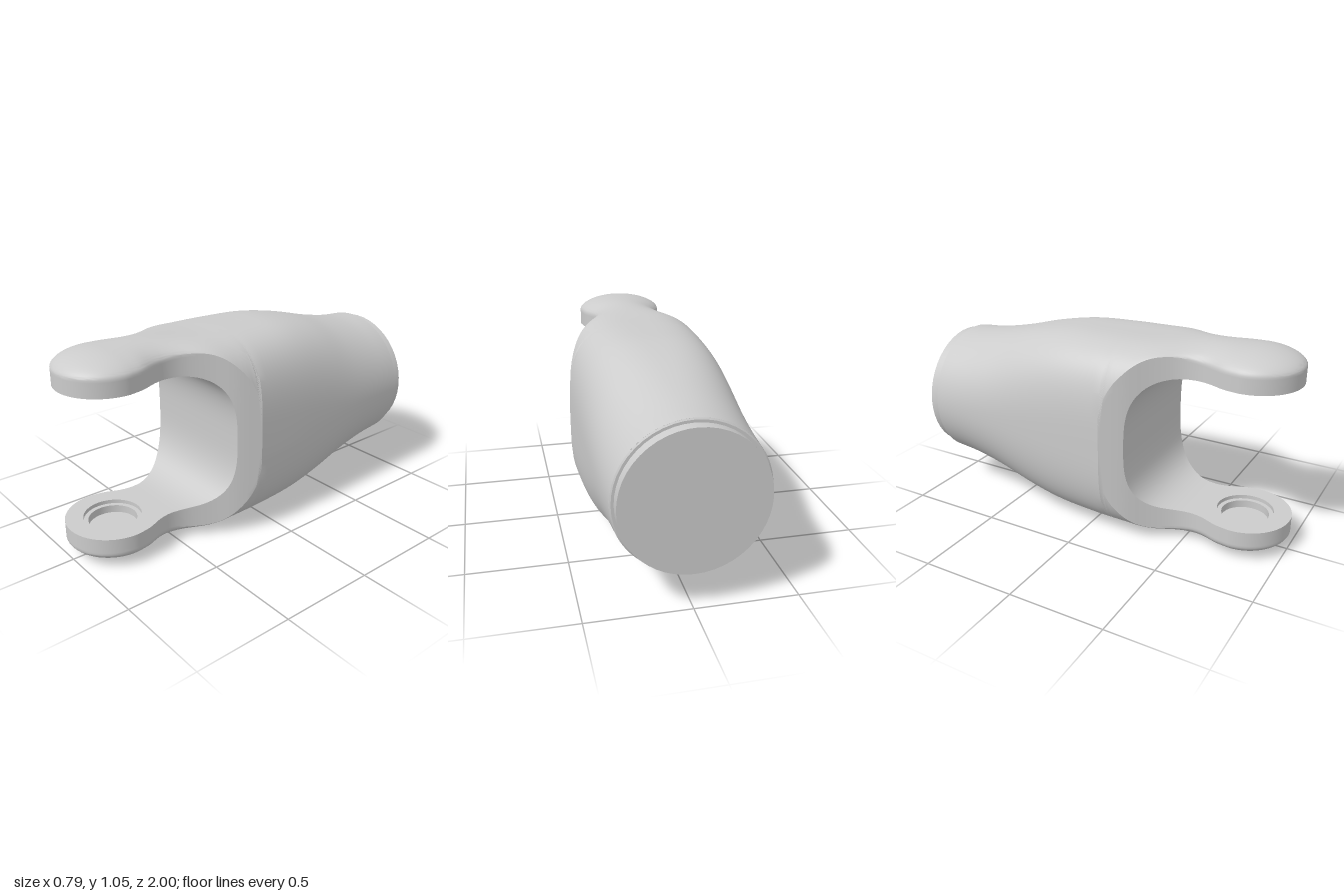
import * as THREE from 'three';
import { mergeGeometries, toCreasedNormals } from 'three/addons/utils/BufferGeometryUtils.js';

const MID = 0.53;                     // height of the long axis
const EYE_Z = 0.765, EYE_R = 0.235;   // rounded eye at the end of each arm
const CUT_Z = 0.23, FLAT_Z = 0.53, GAP = 0.36; // U-shaped gap between the arms
const SHOULDER = 0.12;

// Smooth interpolation through [z, value] pairs
function table(p) {
  const slope = (i) => {
    const a = p[Math.max(i - 1, 0)], b = p[Math.min(i + 1, p.length - 1)];
    return (b[1] - a[1]) / (b[0] - a[0]);
  };
  return (z) => {
    if (z <= p[0][0]) return p[0][1];
    if (z >= p[p.length - 1][0]) return p[p.length - 1][1];
    let i = 0;
    while (z > p[i + 1][0]) i++;
    const d = p[i + 1][0] - p[i][0], t = (z - p[i][0]) / d, t2 = t * t, t3 = t2 * t;
    return (2 * t3 - 3 * t2 + 1) * p[i][1] + (t3 - 2 * t2 + t) * d * slope(i)
      + (3 * t2 - 2 * t3) * p[i + 1][1] + (t3 - t2) * d * slope(i + 1);
  };
}

// Cross-section half-width, half-height and squareness along z
const halfWidth = table([[-0.94, 0.365], [-0.6, 0.379], [-0.2, 0.391], [0.12, 0.395]]);
const halfHeight = table([[-0.94, 0.365], [-0.8, 0.375], [-0.6, 0.413], [-0.4, 0.464],
  [-0.2, 0.496], [0, 0.502], [0.4, 0.507], [0.6, 0.515], [1, 0.515]]);
const squareness = table([[-0.94, 2], [-0.6, 2.25], [-0.2, 2.9], [0.1, 3.3], [0.5, 3.3]]);
const neck = table([[0.12, 0.395], [0.23, 0.335], [0.35, 0.25], [0.45, 0.194], [0.53, 0.177],
  [0.6, 0.187], [0.65, 0.207], [0.69, 0.223], [0.765, 0.235]]);

// Plan outline: body, waisted neck, round eye
function outline(z) {
  if (z <= SHOULDER) return halfWidth(z);
  if (z <= EYE_Z) return neck(z);
  return Math.sqrt(Math.max(0, EYE_R ** 2 - (z - EYE_Z) ** 2));
}

// Side profile of the gap
function gap(z) {
  const t = THREE.MathUtils.clamp((z - CUT_Z) / (FLAT_Z - CUT_Z), 0, 1);
  return GAP * Math.cbrt(1 - (1 - t) ** 3);
}

// Outer skin of the upper half; s runs from -1 to 1 across it
function skin(z, s) {
  const a = halfWidth(z), n = squareness(z), w = outline(z);
  const t0 = Math.acos(Math.min(1, (w / a) ** (n / 2)));
  const t = Math.PI / 2 - s * (Math.PI / 2 - t0);
  const x = a * Math.sign(s) * Math.abs(Math.cos(t)) ** (2 / n);
  const body = halfHeight(z) * Math.max(0, Math.sin(t)) ** (2 / n);
  const u = z < EYE_Z ? Math.abs(x) / w : Math.hypot(x, z - EYE_Z) / EYE_R;
  const dome = 0.445 + 0.08 * Math.max(0, 1 - u * u) ** 0.6;
  return [x, THREE.MathUtils.lerp(body, dome, THREE.MathUtils.smoothstep(z, 0.2, 0.65)), z];
}

// Surface through point(z, s) for each z station and s in -1..1
function sheet(stations, cols, point) {
  const pos = [], idx = [];
  stations.forEach((z, i) => {
    for (let j = 0; j <= cols; j++) {
      pos.push(...point(z, (2 * j) / cols - 1));
      if (i && j) {
        const d = i * (cols + 1) + j, b = d - 1, c = d - cols - 1, a = c - 1;
        idx.push(a, b, c, b, d, c);
      }
    }
  });
  const g = new THREE.BufferGeometry();
  g.setAttribute('position', new THREE.Float32BufferAttribute(pos, 3));
  g.setIndex(idx);
  return g.toNonIndexed();
}

const steps = (a, b, n, ease = (t) => t) =>
  Array.from({ length: n + 1 }, (_, i) => a + (b - a) * ease(i / n));

export function createModel() {
  const model = new THREE.Group();
  const material = new THREE.MeshStandardMaterial({ color: 0xcccccc, side: THREE.DoubleSide });
  const add = (parent, name, geometry) => {
    const mesh = new THREE.Mesh(geometry, material);
    mesh.name = name;
    parent.add(mesh);
    return mesh;
  };

  // Stations along z, closer together at the gap corner and the eye tip
  const body = steps(-0.94, SHOULDER, 26);
  const shoulder = steps(SHOULDER, CUT_Z, 5);
  const corner = steps(CUT_Z, FLAT_Z, 18, (t) => t ** 2.5);
  const eye = [...steps(FLAT_Z, EYE_Z, 10),
    ...steps(EYE_Z, EYE_Z + EYE_R, 16, (t) => Math.sin(t * Math.PI / 2)).slice(1)];
  const front = [...shoulder, ...corner.slice(1), ...eye.slice(1)];

  // Upper half: skin, two side walls and the inside of the gap
  const wall = (side) => (z, s) => {
    const k = (1 - side * s) / 2;
    return [side * outline(z), THREE.MathUtils.lerp(gap(z), skin(z, 1)[1], k), z];
  };
  const half = mergeGeometries([
    sheet([...body, ...front.slice(1)], 64, skin),
    sheet(front, 8, wall(1)),
    sheet(front, 8, wall(-1)),
    sheet(corner, 12, (z, s) => [-s * outline(z), gap(z), z]),
  ]);
  const yoke = mergeGeometries([half, half.clone().rotateZ(Math.PI)]);
  add(model, 'yokeBody', toCreasedNormals(yoke, 0.45)).position.y = MID;

  // Inner face of each eye with a stepped blind hole
  const shape = new THREE.Shape([
    ...eye.map((z) => new THREE.Vector2(outline(z), z)),
    ...eye.slice(0, -1).reverse().map((z) => new THREE.Vector2(-outline(z), z)),
  ]);
  shape.holes.push(new THREE.Path().absarc(0, EYE_Z, 0.145, 0, Math.PI * 2, true));
  const face = new THREE.ShapeGeometry(shape, 24).rotateX(Math.PI / 2);
  const lathe = (points) => toCreasedNormals(
    new THREE.LatheGeometry(points.map((p) => new THREE.Vector2(...p)), 48), 0.45);
  const hole = lathe([[0.145, 0], [0.145, 0.02], [0.122, 0.02], [0.122, 0.06], [0, 0.06]]);
  for (const [name, turn] of [['upperEye', 0], ['lowerEye', Math.PI]]) {
    const group = new THREE.Group();
    group.name = name;
    group.position.y = MID;
    group.rotation.z = turn;
    add(group, 'eyeFace', face).position.y = GAP;
    add(group, 'pinSocket', hole).position.set(0, GAP, EYE_Z);
    model.add(group);
  }

  // Stepped round stub closing the back
  const stub = lathe([[0, -1], [0.345, -1], [0.345, -0.945], [0.358, -0.945], [0.365, -0.94]]);
  add(model, 'rearStub', stub.rotateX(Math.PI / 2)).position.y = MID;
  return model;
}
